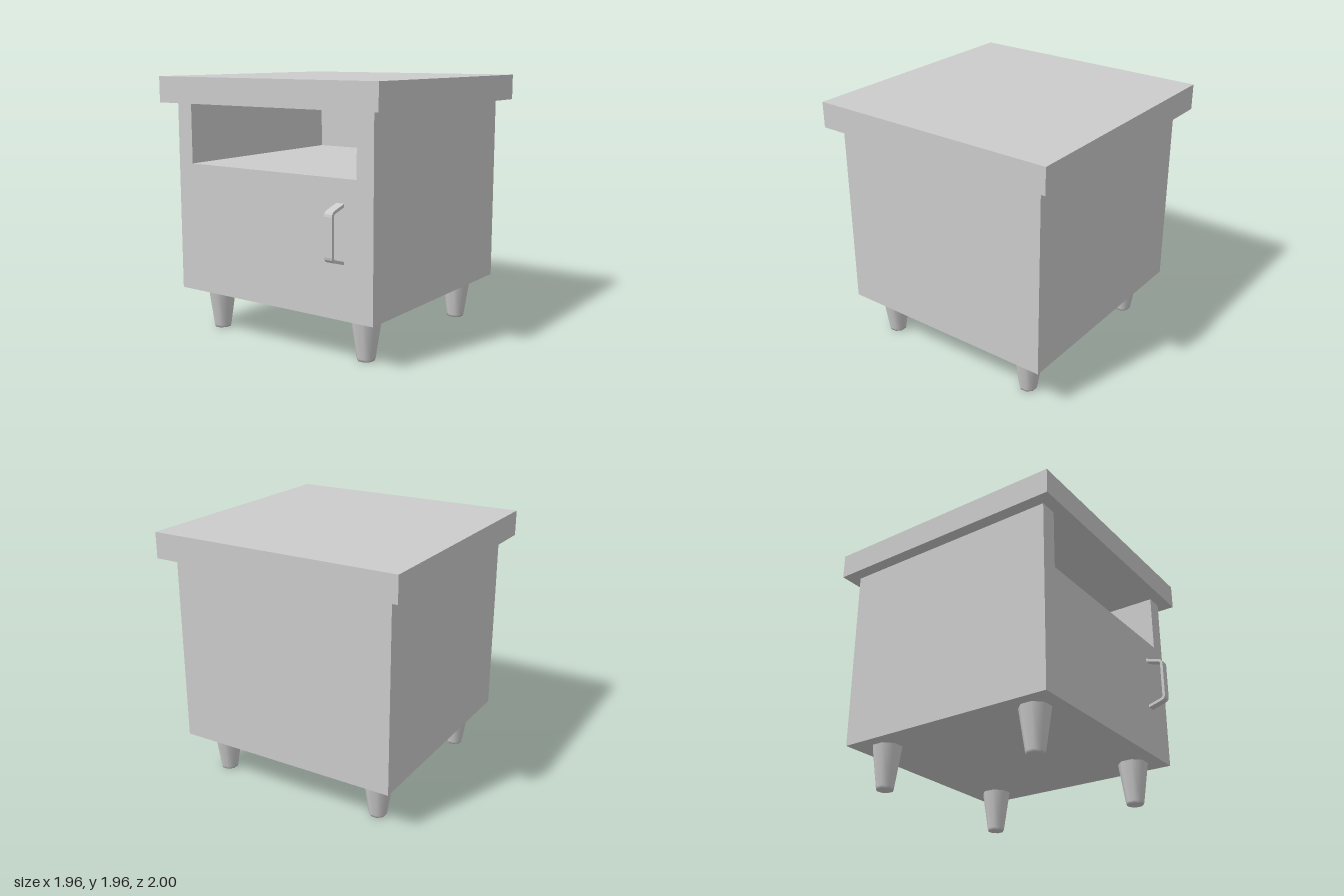
import * as THREE from 'three';

const material = new THREE.MeshStandardMaterial({ color: 0xcccccc });

export function createModel() {
  const model = new THREE.Group();
  model.name = 'bedsideCabinet';

  const add = (name, geometry, parent = model) => {
    const mesh = new THREE.Mesh(geometry, material);
    mesh.name = name;
    parent.add(mesh);
    return mesh;
  };

  // Box given by its lower and upper limits on each axis
  const panel = (name, [x0, x1], [y0, y1], [z0, z1], parent) =>
    add(name, new THREE.BoxGeometry(x1 - x0, y1 - y0, z1 - z0), parent)
      .position.set((x0 + x1) / 2, (y0 + y1) / 2, (z0 + z1) / 2);

  // Overhanging top slab
  panel('tabletop', [-0.98, 0.98], [1.765, 1.96], [-1, 0.955]);

  // Carcass: side walls, back, bottom and the floor of the open niche
  const carcass = new THREE.Group();
  carcass.name = 'carcass';
  model.add(carcass);
  const outer = 0.885, inner = 0.75, bottom = 0.33, top = 1.765;
  const back = -0.9, front = 0.86, doorBack = 0.745, nicheFloor = 1.31;
  panel('leftWall', [inner, outer], [bottom, top], [back, front], carcass);
  panel('rightWall', [-outer, -inner], [bottom, top], [back, front], carcass);
  panel('backWall', [-inner, inner], [bottom, top], [back, back + 0.135], carcass);
  panel('bottomPanel', [-inner, inner], [bottom, bottom + 0.12], [back + 0.135, doorBack], carcass);
  panel('nicheShelf', [-inner, inner], [nicheFloor - 0.1, nicheFloor], [back + 0.135, doorBack], carcass);

  // Door set flush between the side walls
  panel('door', [-inner, inner], [bottom, nicheFloor], [doorBack, front]);

  // Bent flat-bar handle: profile in (z, y), extruded across x
  const upper = [[0.85, 0.213], [0.965, 0.178], [0.985, 0.169], [0.996, 0.155], [1, 0.137]];
  const inside = [[0.978, 0.137], [0.975, 0.148], [0.965, 0.156], [0.85, 0.19]];
  const flip = (points) => points.map(([z, y]) => [z, -y]).reverse();
  const outline = [...upper, ...flip(upper), ...flip(inside), ...inside];
  const shape = new THREE.Shape(outline.map(([z, y]) => new THREE.Vector2(z, y)));
  const bar = new THREE.ExtrudeGeometry(shape, { depth: 0.065, bevelEnabled: false });
  bar.rotateY(-Math.PI / 2);
  add('handle', bar).position.set(0.65, 0.932, 0);

  // Tapered eight-sided legs with a small chamfer at the foot
  const legProfile = [[0, 0], [0.064, 0], [0.07, 0.02], [0.116, 0.33]]
    .map(([r, y]) => new THREE.Vector2(r, y));
  const legGeometry = new THREE.LatheGeometry(legProfile, 8, Math.PI / 8);
  for (const [side, x] of [['Left', 0.683], ['Right', -0.683]]) {
    for (const [end, z] of [['front', 0.64], ['back', -0.675]]) {
      add(`${end}${side}Leg`, legGeometry).position.set(x, 0, z);
    }
  }

  return model;
}
